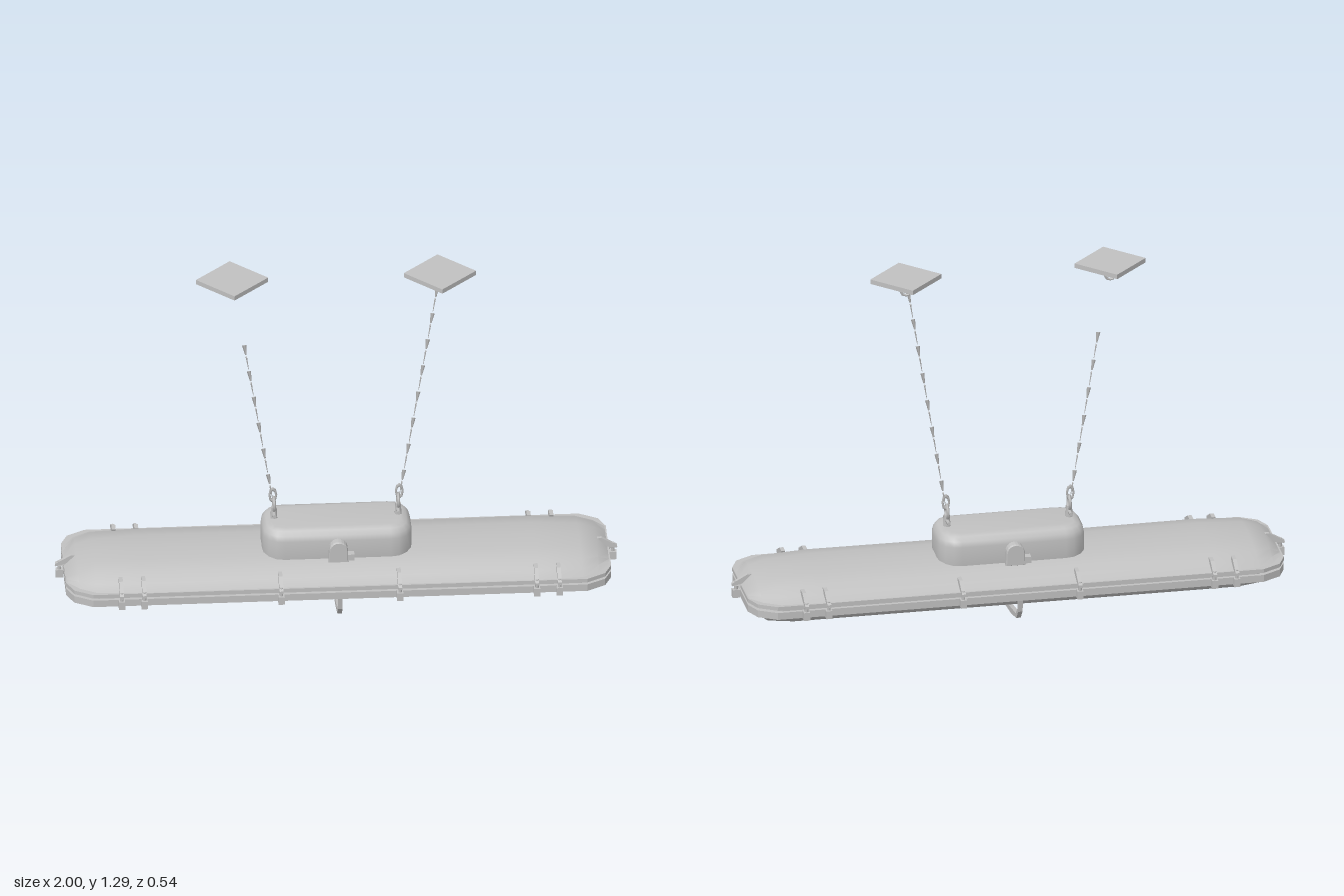
import * as THREE from 'three';
import { toCreasedNormals } from 'three/addons/utils/BufferGeometryUtils.js';

const metal = new THREE.MeshStandardMaterial({ color: 0xc0c0c0 });
metal.name = 'grey metal';
metal.side = THREE.DoubleSide;

function add(parent, name, geometry, x = 0, y = 0, z = 0) {
  const mesh = new THREE.Mesh(geometry, metal);
  mesh.name = name;
  mesh.position.set(x, y, z);
  parent.add(mesh);
  return mesh;
}

// Long shell: stations are [x, width scale, height scale], mirrored about x = 0;
// profile is half a cross-section [z, height], mirrored about z = 0.
function shell(stations, profile, up) {
  const rows = [...stations.map(([x, w, h]) => [-x, w, h]), ...stations.slice().reverse()];
  const cols = [...profile, ...profile.slice(0, -1).reverse().map(([z, h]) => [-z, h])];
  const pos = [], index = [];
  for (const [x, w, h] of rows) for (const [z, y] of cols) pos.push(x, y * h * up, z * w);
  const n = cols.length;
  for (let i = 0; i < rows.length - 1; i++) {
    for (let j = 0; j < n - 1; j++) {
      const a = i * n + j, b = a + n, c = b + 1, d = a + 1;
      if (up > 0) index.push(a, b, c, a, c, d);
      else index.push(a, c, b, a, d, c);
    }
  }
  const g = new THREE.BufferGeometry();
  g.setAttribute('position', new THREE.Float32BufferAttribute(pos, 3));
  g.setIndex(index);
  return toCreasedNormals(g, 0.6);
}

// Flat slab with clipped corners
function slab(hx, hz, height) {
  const s = new THREE.Shape([
    [-hx, -hz * 0.6], [-hx + 0.025, -hz * 0.84], [-hx + 0.09, -hz],
    [hx - 0.09, -hz], [hx - 0.025, -hz * 0.84], [hx, -hz * 0.6],
    [hx, hz * 0.6], [hx - 0.025, hz * 0.84], [hx - 0.09, hz],
    [-hx + 0.09, hz], [-hx + 0.025, hz * 0.84], [-hx, hz * 0.6],
  ].map(([x, y]) => new THREE.Vector2(x, y)));
  return new THREE.ExtrudeGeometry(s, { depth: height, bevelEnabled: false }).rotateX(-Math.PI / 2);
}

// Rounded housing that carries the chains
function housingGeometry(hx, hz, r) {
  const s = new THREE.Shape();
  s.moveTo(-hx + r, -hz);
  s.lineTo(hx - r, -hz);
  s.quadraticCurveTo(hx, -hz, hx, -hz + r);
  s.lineTo(hx, hz - r);
  s.quadraticCurveTo(hx, hz, hx - r, hz);
  s.lineTo(-hx + r, hz);
  s.quadraticCurveTo(-hx, hz, -hx, hz - r);
  s.lineTo(-hx, -hz + r);
  s.quadraticCurveTo(-hx, -hz, -hx + r, -hz);
  const g = new THREE.ExtrudeGeometry(s, {
    depth: 0.09, bevelSize: 0.035, bevelThickness: 0.04, bevelSegments: 3, curveSegments: 4,
  });
  return toCreasedNormals(g.rotateX(-Math.PI / 2), 0.7);
}

// Clamp whose outer edge points along +z, placed at the rim
function clip(x, z, angle, width) {
  const g = new THREE.Group();
  g.name = 'rimClip';
  const arm = new THREE.Shape();
  arm.moveTo(-0.075, 0.035);
  arm.lineTo(-0.04, 0.035);
  arm.lineTo(0.015, 0.004);
  arm.lineTo(0.015, -0.006);
  arm.lineTo(-0.065, 0.01);
  const armGeo = new THREE.ExtrudeGeometry(arm, { depth: 0.014, bevelEnabled: false });
  add(g, 'clipArm', armGeo.translate(0, 0, -0.007).rotateY(-Math.PI / 2), 0, 0.165, 0);
  const spike = add(g, 'clipPoint', new THREE.ConeGeometry(width, 0.055, 4), 0, 0.16, -0.008);
  spike.rotation.x = Math.PI / 2;
  spike.scale.z = 0.4;
  add(g, 'clipBolt', new THREE.CylinderGeometry(0.007, 0.007, 0.065, 6), 0, 0.145, 0);
  add(g, 'clipBlock', new THREE.BoxGeometry(0.022, 0.03, 0.026), 0, 0.13, 0);
  g.position.set(x, 0, z);
  g.rotation.y = angle;
  return g;
}

function createChain(side, links) {
  const g = new THREE.Group();
  g.name = side > 0 ? 'leftChain' : 'rightChain';
  const start = new THREE.Vector3(side * 0.225, 0.4, 0);
  const end = new THREE.Vector3(side * 0.36, 1.24, 0);
  const turn = new THREE.Quaternion().setFromUnitVectors(
    new THREE.Vector3(0, 1, 0), end.clone().sub(start).normalize());
  // Alternating tapered links, every second one turned edge-on
  for (let i = 0; i < links; i++) {
    const edgeOn = i % 2;
    const geo = new THREE.CylinderGeometry(0.011, 0.004, edgeOn ? 0.04 : 0.052, 4);
    geo.scale(edgeOn ? 0.7 : 0.25, 1, edgeOn ? 0.2 : 0.8);
    const link = add(g, 'chainLink', geo);
    link.position.lerpVectors(start, end, (i + 0.5) / 16);
    link.quaternion.copy(turn);
  }
  return g;
}

export function createModel() {
  const model = new THREE.Group();
  model.name = 'hangingLamp';

  // Lamp body
  add(model, 'upperShell', shell(
    [[0.96, 0.6, 0], [0.92, 0.8, 0.65], [0.86, 0.95, 0.87], [0.7, 1, 1], [0.3, 0.98, 1]],
    [[0.235, 0], [0.195, 0.015], [0.16, 0.04], [0.09, 0.054], [0, 0.06]], 1), 0, 0.166, 0);
  add(model, 'lens', shell(
    [[0.95, 0.65, 0], [0.93, 0.75, 0.5], [0.89, 0.88, 0.93], [0.8, 1, 1]],
    [[0.21, 0], [0.19, 0.028], [0.14, 0.056], [0.07, 0.07], [0, 0.078]], -1), 0, 0.12, 0);
  add(model, 'lowerRim', slab(0.965, 0.235, 0.026), 0, 0.116, 0);
  add(model, 'rimSeal', slab(0.945, 0.222, 0.012), 0, 0.141, 0);
  add(model, 'upperRim', slab(0.965, 0.238, 0.014), 0, 0.152, 0);

  // Housing with a latch on each long side
  add(model, 'housing', housingGeometry(0.23, 0.08, 0.045), 0, 0.195, 0);
  for (const s of [1, -1]) {
    const arch = new THREE.Shape();
    arch.moveTo(-0.032, 0);
    arch.lineTo(0.032, 0);
    arch.lineTo(0.03, 0.045);
    arch.absarc(0, 0.045, 0.03, 0, Math.PI, false);
    const geo = new THREE.ExtrudeGeometry(arch, {
      depth: 0.028, bevelSize: 0.003, bevelThickness: 0.006, bevelSegments: 1, curveSegments: 5,
    });
    add(model, 'sideLatch', geo, 0, 0.215, s > 0 ? 0.112 : -0.14);
    add(model, 'latchBlock', new THREE.BoxGeometry(0.026, 0.024, 0.035), s * 0.043, 0.23, s * 0.125);
  }

  // Clips around the rim
  for (const s of [1, -1]) {
    for (const x of [0.21, 0.695, 0.775]) {
      for (const m of [1, -1]) model.add(clip(m * x, s * 0.248, s > 0 ? 0 : Math.PI, x < 0.5 ? 0.012 : 0.02));
    }
    model.add(clip(s * 0.98, 0, s * Math.PI / 2, 0.026));
  }

  // Carrying strap below the lens
  const strap = new THREE.Shape([
    [0.235, 0.13], [0.225, 0.07], [0.19, 0.032], [0.1, 0.01], [0, 0], [-0.1, 0.01], [-0.19, 0.032],
    [-0.225, 0.07], [-0.235, 0.13], [-0.222, 0.13], [-0.21, 0.075], [-0.178, 0.045], [0, 0.016],
    [0.178, 0.045], [0.21, 0.075], [0.222, 0.13],
  ].map(([z, y]) => new THREE.Vector2(z, y)));
  add(model, 'strap', new THREE.ExtrudeGeometry(strap, { depth: 0.016, bevelEnabled: false })
    .translate(0, 0, -0.008).rotateY(-Math.PI / 2));

  // Lugs, chains and ceiling plates
  for (const s of [1, -1]) {
    const x = s * 0.22;
    add(model, 'lugPost', new THREE.CylinderGeometry(0.011, 0.014, 0.05, 6), x, 0.342, 0);
    add(model, 'lugBar', new THREE.CylinderGeometry(0.007, 0.007, 0.076, 6).rotateX(Math.PI / 2), x, 0.347, 0);
    const ring = add(model, 'lugRing', new THREE.TorusGeometry(0.02, 0.006, 5, 10).rotateY(Math.PI / 2), x, 0.378, 0);
    ring.scale.y = 1.2;
    const shackle = add(model, 'shackle', new THREE.TorusGeometry(0.012, 0.004, 4, 8), x + s * 0.004, 0.415, 0);
    shackle.scale.y = 2;

    model.add(createChain(s, s > 0 ? 16 : 12));

    const plate = new THREE.Group();
    plate.name = 'ceilingMount';
    plate.position.x = s * 0.368;
    add(plate, 'ceilingPlate', new THREE.BoxGeometry(0.181, 0.017, 0.181).rotateY(Math.PI / 4), 0, 1.286, 0);
    add(plate, 'mountDisc', new THREE.CylinderGeometry(0.07, 0.06, 0.015, 8), 0, 1.271, 0);
    const hook = new THREE.CatmullRomCurve3([
      [-0.019, 1.268], [-0.018, 1.24], [-0.009, 1.225], [0.009, 1.225], [0.018, 1.24], [0.019, 1.268],
    ].map(([hx, hy]) => new THREE.Vector3(hx, hy, 0)));
    add(plate, 'mountHook', new THREE.TubeGeometry(hook, 10, 0.005, 5));
    model.add(plate);
  }
  return model;
}
